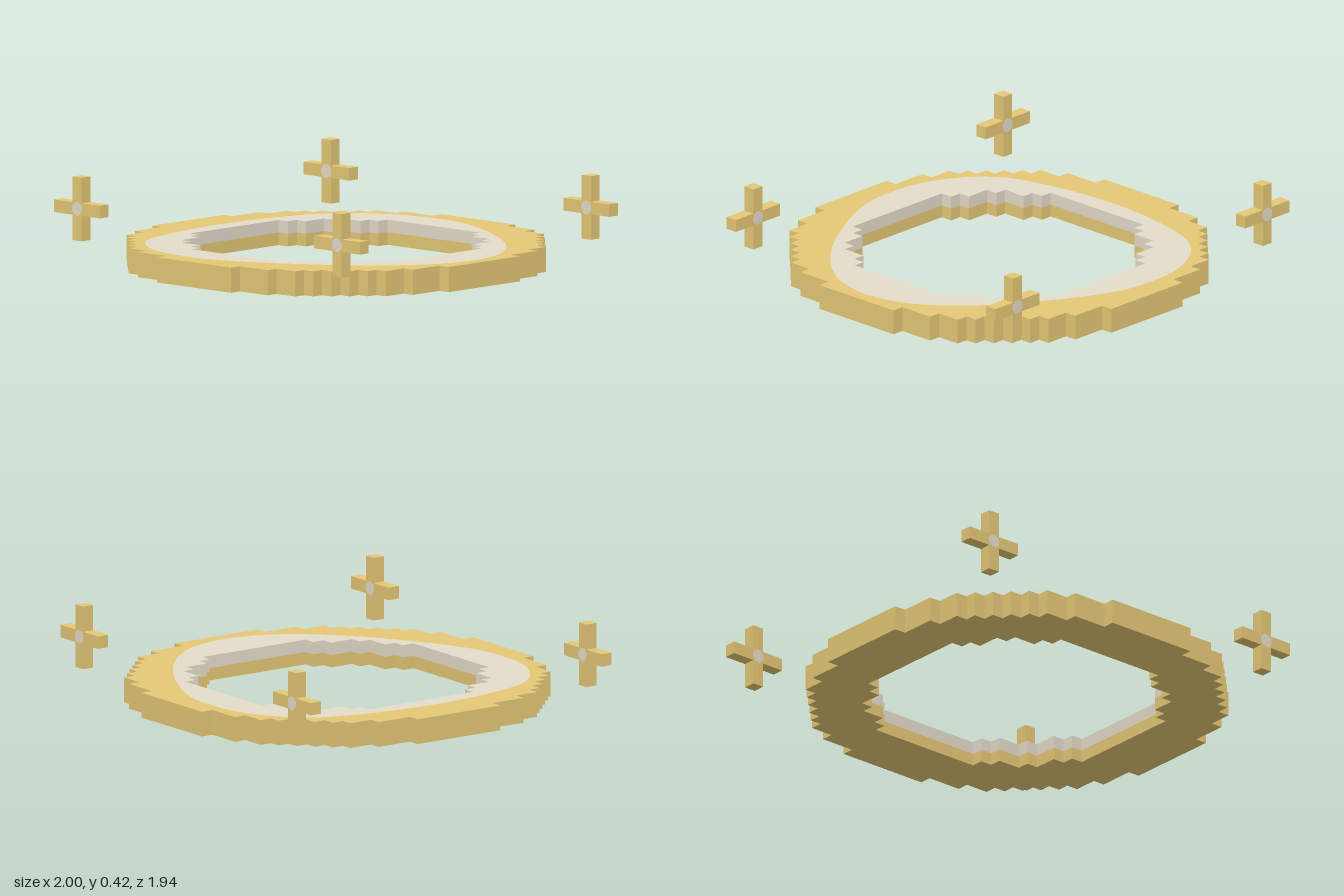
import * as THREE from 'three';

const U = 0.0606; // size of one block step
const RING_X = 0.03; // ring sits slightly off centre
const HEIGHT = 0.12;
const SPLIT = 0.06; // height where the pale inner lining begins

// Stepped outline from [half width, half depth] block counts, one quarter mirrored
function steppedPoints(steps) {
  const quarter = [];
  steps.forEach(([w, d], i) => {
    if (i > 0) quarter.push([steps[i - 1][0], d]);
    quarter.push([w, d]);
  });
  const mirror = quarter.slice().reverse();
  return [
    ...quarter,
    ...mirror.map(([x, z]) => [x, -z]),
    ...quarter.map(([x, z]) => [-x, -z]),
    ...mirror.map(([x, z]) => [-x, z]),
  ].map(([x, z]) => new THREE.Vector2(RING_X + x * U, z * U)).reverse(); // counter-clockwise
}

// Flat ring lying level between two heights
function ring(outer, inner, y0, y1, material, name) {
  const shape = new THREE.Shape(outer);
  shape.holes.push(new THREE.Path(inner));
  const geometry = new THREE.ExtrudeGeometry(shape, { depth: y1 - y0, bevelEnabled: false });
  geometry.rotateX(-Math.PI / 2);
  geometry.translate(0, y0, 0);
  const mesh = new THREE.Mesh(geometry, material);
  mesh.name = name;
  return mesh;
}

export function createModel() {
  const gold = new THREE.MeshStandardMaterial({ color: 0xe5c876 });
  gold.name = 'gold';
  const stone = new THREE.MeshStandardMaterial({ color: 0xe5ddcb });
  stone.name = 'pale stone';

  const model = new THREE.Group();
  model.name = 'steppedRingWithCrosses';

  const outer = steppedPoints([[4, 16], [7, 15], [9, 14], [10, 13], [11, 12],
    [12, 11], [13, 10], [14, 9], [15, 7], [16, 4]]);
  const hole = steppedPoints([[5, 11], [6, 10], [8, 9], [9, 8], [10, 6], [11, 5]]);

  // Smooth border between the gold rim and the pale lining
  const half = [[0.89, 0.21], [0.81, 0.34], [0.71, 0.45], [0.58, 0.56], [0.46, 0.64], [0.34, 0.71],
    [0.18, 0.79], [0.03, 0.84], [-0.12, 0.852], [-0.3, 0.835], [-0.5, 0.74], [-0.63, 0.6],
    [-0.7, 0.38], [-0.73, 0.18]];
  const loop = [[0.935, 0], ...half, [-0.74, 0], ...half.slice().reverse().map(([x, z]) => [x, -z])];
  const curve = new THREE.CatmullRomCurve3(loop.map(([x, z]) => new THREE.Vector3(x, z, 0)), true);
  const border = curve.getPoints(120).slice(0, -1).map((p) => new THREE.Vector2(p.x, p.y));

  model.add(
    ring(outer, hole, 0, SPLIT, gold, 'ringBase'),
    ring(outer, border, SPLIT, HEIGHT, gold, 'ringRim'),
    ring(border, hole, SPLIT, HEIGHT, stone, 'innerLining'),
  );

  // Four upright crosses at the corners
  const upright = new THREE.BoxGeometry(0.06, 0.303, 0.06);
  const arm = new THREE.BoxGeometry(0.12, 0.06, 0.06);
  const disc = new THREE.CylinderGeometry(0.033, 0.033, 0.062, 16).rotateX(Math.PI / 2);
  for (const x of [-0.85, 0.85]) {
    for (const z of [-0.88, 0.82]) {
      const cross = new THREE.Group();
      cross.name = 'cornerCross';
      const add = (geometry, material, name, dx) => {
        const mesh = new THREE.Mesh(geometry, material);
        mesh.name = name;
        mesh.position.x = dx;
        cross.add(mesh);
      };
      add(upright, gold, 'crossUpright', 0);
      add(arm, gold, 'crossArm', -0.09);
      add(arm, gold, 'crossArm', 0.09);
      add(disc, stone, 'crossCentre', 0);
      cross.position.set(x, 0.273, z);
      model.add(cross);
    }
  }
  return model;
}
